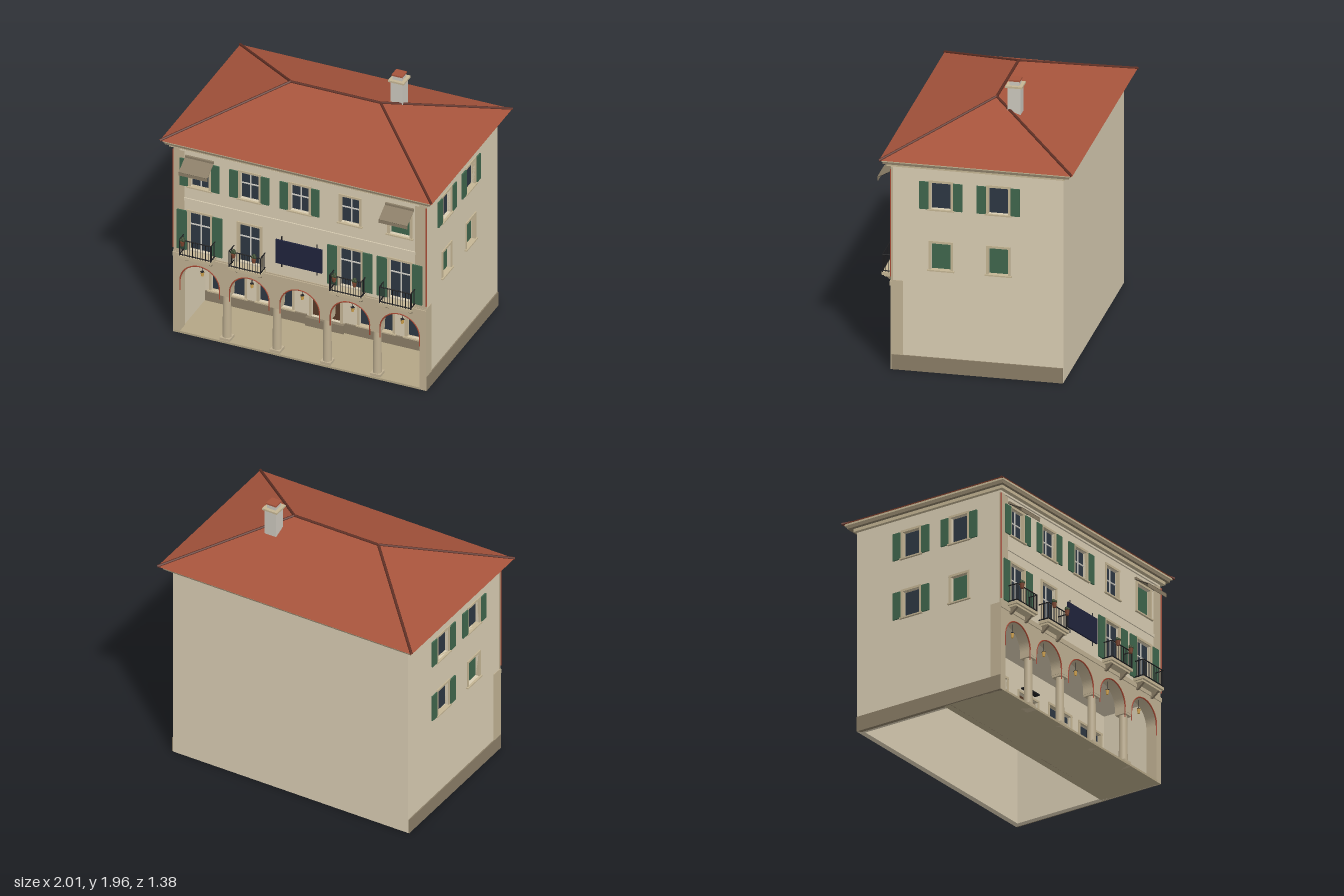
import * as THREE from 'three';

const C = {
  wall: 0xd8ccb2, stone: 0xbfb092, trim: 0xc4b594, dark: 0x8a7d66, glass: 0x2d3742, bar: 0xcfccc4,
  green: 0x3f654c, roof: 0xa5533b, ridge: 0x5e2f24, iron: 0x1e1e20, door: 0x573a27, navy: 0x20243c,
  red: 0xa84a34, lamp: 0xd8a850, chimney: 0xcbc7bd, floor: 0xb3a585, clay: 0x7d4630, leaf: 0x3a4a30,
};
const mats = {};
const mat = (c) => (mats[c] ??= new THREE.MeshStandardMaterial({ color: C[c] }));

function add(parent, name, geo, color, x = 0, y = 0, z = 0) {
  const m = new THREE.Mesh(geo, mat(color));
  m.name = name;
  m.position.set(x, y, z);
  parent.add(m);
  return m;
}
// box given by its min and max on each axis
function box(parent, name, color, x0, x1, y0, y1, z0, z1) {
  return add(parent, name, new THREE.BoxGeometry(x1 - x0, y1 - y0, z1 - z0), color,
    (x0 + x1) / 2, (y0 + y1) / 2, (z0 + z1) / 2);
}
function group(parent, name) {
  const g = new THREE.Group();
  g.name = name;
  parent.add(g);
  return g;
}
function rod(parent, name, color, a, b, r, sides = 8) {
  const path = new THREE.LineCurve3(new THREE.Vector3(...a), new THREE.Vector3(...b));
  return add(parent, name, new THREE.TubeGeometry(path, 1, r, sides), color);
}

// wall whose outer face is z = 0, pierced for each opening
function wall(parent, name, x0, x1, y0, y1, openings) {
  const s = new THREE.Shape([[x0, y0], [x1, y0], [x1, y1], [x0, y1]].map((p) => new THREE.Vector2(...p)));
  for (const { x, y, w, h } of openings) {
    s.holes.push(new THREE.Path([[-1, 0], [-1, 1], [1, 1], [1, 0]]
      .map(([i, j]) => new THREE.Vector2(x + i * w / 2, y + j * h))));
  }
  const geo = new THREE.ExtrudeGeometry(s, { depth: 0.04, bevelEnabled: false });
  add(parent, name, geo, 'wall', 0, 0, -0.04);
  openings.forEach((o) => windowUnit(parent, o));
}

// pane, glazing bars, surround, sill and shutters of one opening
function windowUnit(parent, { x, y, w, h, pane = 'glass', bars = true, rail = 0.5, shutter = 0, sides = [-1, 1], sill = true }) {
  const g = group(parent, pane === 'door' ? 'door' : 'window');
  const l = x - w / 2, r = x + w / 2, f = 0.016;
  box(g, 'pane', pane, l, r, y, y + h, -0.045, -0.025);
  if (pane === 'glass' && bars) {
    box(g, 'verticalBar', 'bar', x - 0.004, x + 0.004, y, y + h, -0.025, -0.018);
    box(g, 'crossBar', 'bar', l, r, y + h * rail - 0.004, y + h * rail + 0.004, -0.025, -0.018);
  }
  box(g, 'leftSurround', 'trim', l - f, l, y, y + h, -0.02, 0.007);
  box(g, 'rightSurround', 'trim', r, r + f, y, y + h, -0.02, 0.007);
  box(g, 'lintel', 'trim', l - f, r + f, y + h, y + h + f, -0.02, 0.008);
  if (sill) box(g, 'sill', 'trim', l - 0.025, r + 0.025, y - 0.01, y, -0.025, 0.016);
  if (shutter) for (const s of sides) {
    const c = x + s * (w / 2 + f + shutter / 2 + 0.002);
    box(g, 'shutter', 'green', c - shutter / 2, c + shutter / 2, y - 0.003, y + h + 0.005, 0.002, 0.012);
  }
}

function balcony(parent, x, pots) {
  const g = group(parent, 'balcony');
  g.position.x = x;
  box(g, 'slab', 'trim', -0.12, 0.12, 0.645, 0.665, 0, 0.085);
  box(g, 'slabMoulding', 'trim', -0.11, 0.11, 0.632, 0.645, 0, 0.07);
  const bracket = new THREE.Shape([[0, 0.59], [0.02, 0.595], [0.065, 0.632], [0, 0.632]].map((p) => new THREE.Vector2(...p)));
  for (const s of [-1, 1]) {
    const b = add(g, 'bracket', new THREE.ExtrudeGeometry(bracket, { depth: 0.018, bevelEnabled: false }), 'dark', s * 0.085 - 0.009);
    b.rotation.y = -Math.PI / 2;
    b.position.x += 0.018;
    for (const y of [0.675, 0.79]) rod(g, 'sideRail', 'iron', [s * 0.115, y, 0], [s * 0.115, y, 0.08], 0.004);
    for (let i = 1; i < 4; i++) rod(g, 'baluster', 'iron', [s * 0.115, 0.665, i * 0.02], [s * 0.115, 0.79, i * 0.02], 0.002, 5);
  }
  for (const y of [0.675, 0.79]) rod(g, 'frontRail', 'iron', [-0.118, y, 0.08], [0.118, y, 0.08], 0.004);
  for (let i = 0; i <= 12; i++) {
    const bx = -0.115 + i * 0.23 / 12;
    rod(g, 'baluster', 'iron', [bx, 0.665, 0.08], [bx, 0.79, 0.08], i % 12 ? 0.002 : 0.004, 5);
  }
  for (const p of pots) {
    add(g, 'flowerPot', new THREE.CylinderGeometry(0.017, 0.011, 0.035, 10), 'clay', p, 0.777, 0.1);
    for (const [dx, dy, dz] of [[-0.009, 0.802, 0], [0.009, 0.805, 0.004], [0, 0.812, -0.005]]) {
      add(g, 'plant', new THREE.IcosahedronGeometry(0.012, 1), 'leaf', p + dx, dy, 0.1 + dz);
    }
  }
}

function awning(parent, x) {
  const g = group(parent, 'awning');
  g.position.x = x;
  box(g, 'cassette', 'dark', -0.105, 0.105, 1.405, 1.42, 0, 0.015);
  add(g, 'canopy', new THREE.BoxGeometry(0.21, 0.005, 0.132), 'dark', 0, 1.378, 0.058).rotation.x = 0.514;
  box(g, 'valance', 'dark', -0.105, 0.105, 1.32, 1.347, 0.111, 0.115);
  for (const s of [-1, 1]) rod(g, 'arm', 'iron', [s * 0.1, 1.345, 0.112], [s * 0.1, 1.405, 0.005], 0.003, 5);
}

const BAYS = [-0.735, -0.37, 0, 0.37, 0.735];
const R = 0.145, SPRING = 0.415;

function arcade(root) {
  const g = group(root, 'arcade');
  // stone screen with five round arches
  const s = new THREE.Shape();
  s.moveTo(-0.93, 0).lineTo(-0.88, 0);
  BAYS.forEach((x, i) => {
    s.lineTo(x - R, SPRING);
    s.absarc(x, SPRING, R, Math.PI, 0, true);
    if (i < 4) s.lineTo(x + R, 0.385).lineTo(BAYS[i + 1] - R, 0.385);
  });
  s.lineTo(0.88, 0).lineTo(0.93, 0).lineTo(0.93, 0.645).lineTo(-0.93, 0.645);
  add(g, 'archWall', new THREE.ExtrudeGeometry(s, { depth: 0.085, bevelEnabled: false, curveSegments: 24 }), 'stone', 0, 0, 0.49);
  box(g, 'stringCourse', 'stone', -0.932, 0.932, 0.605, 0.635, 0.57, 0.582);
  BAYS.forEach((x, i) => {
    // red arch edging with short straight legs
    add(g, 'archEdging', new THREE.TorusGeometry(R, 0.005, 6, 28, Math.PI), 'red', x, SPRING, 0.574);
    for (const e of [-1, 1]) rod(g, 'edgingLeg', 'red', [x + e * R, 0.34, 0.574], [x + e * R, SPRING, 0.574], 0.004, 6);
    // hanging lantern
    const l = group(g, 'lantern');
    rod(l, 'rod', 'iron', [x, 0.5, 0.53], [x, 0.56, 0.53], 0.002, 5);
    add(l, 'cap', new THREE.ConeGeometry(0.017, 0.012, 4), 'iron', x, 0.5, 0.53);
    add(l, 'lamp', new THREE.CylinderGeometry(0.013, 0.009, 0.032, 6), 'lamp', x, 0.478, 0.53);
    if (i === 4) return;
    // column
    const c = (x + BAYS[i + 1]) / 2, col = group(g, 'column');
    box(col, 'base', 'stone', c - 0.037, c + 0.037, 0, 0.035, 0.495, 0.57);
    add(col, 'shaft', new THREE.CylinderGeometry(0.027, 0.031, 0.34, 20), 'stone', c, 0.205, 0.532);
    box(col, 'capital', 'stone', c - 0.038, c + 0.038, 0.37, 0.39, 0.493, 0.573);
  });
  box(g, 'floor', 'floor', -0.92, 0.92, 0, 0.015, 0.1, 0.575);
  box(g, 'ceiling', 'wall', -0.92, 0.92, 0.6, 0.62, 0.1, 0.5);
  // shop wall at the back of the arcade
  const shop = group(g, 'shopWall');
  shop.position.z = 0.14;
  const openings = [-0.72, -0.37, 0.37, 0.72].map((x) => ({ x, y: 0.1, w: 0.245, h: 0.345, bars: false }));
  openings.push({ x: 0, y: 0.08, w: 0.215, h: 0.325, pane: 'door', sill: false });
  wall(shop, 'shopFront', -0.92, 0.92, 0, 0.61, openings);
  for (const x of [-0.72, -0.37, 0.37, 0.72]) box(shop, 'mullion', 'iron', x - 0.003, x + 0.003, 0.1, 0.445, -0.025, -0.02);
  for (const e of [-1, 1]) add(shop, 'dado', new THREE.BoxGeometry(0.77, 0.09, 0.012), 'dark', e * 0.525, 0.045, 0.006);
  box(shop, 'doorStep', 'dark', -0.14, 0.14, 0, 0.08, 0, 0.03);
  box(shop, 'doorCanopy', 'iron', -0.08, 0.08, 0.438, 0.448, 0, 0.04);
}

function frontFacade(root) {
  const g = group(root, 'frontFacade');
  g.position.z = 0.57;
  const openings = [];
  for (const x of BAYS) {
    if (x) openings.push({ x, y: 0.675, w: 0.155, h: 0.3, rail: 0.65, sill: false, shutter: x === -0.37 ? 0 : 0.07 });
    const blind = x === 0.735, aw = Math.abs(x) > 0.7;
    openings.push({ x, y: 1.18, w: blind ? 0.15 : 0.135, h: 0.205, rail: 0.55, pane: blind ? 'green' : 'glass',
      shutter: x === 0.37 || blind ? 0 : 0.06 });
    if (aw) awning(g, x);
  }
  wall(g, 'upperWall', -0.925, 0.925, 0.64, 1.5, openings);
  box(g, 'floorBand', 'wall', -0.85, 0.85, 1.058, 1.08, 0, 0.008);
  box(g, 'topBand', 'wall', -0.88, 0.88, 1.452, 1.462, 0, 0.012);
  for (const s of [-1, 1]) {
    add(g, 'cornerStrip', new THREE.BoxGeometry(0.08, 0.82, 0.012), 'stone', s * 0.888, 1.05, -0.003);
    rod(g, 'downpipe', 'red', [s * 0.93, 0.67, 0.006], [s * 0.93, 1.45, 0.006], 0.005);
  }
  balcony(g, -0.735, [-0.085]);
  balcony(g, -0.37, [-0.075, 0.075]);
  balcony(g, 0.37, [-0.075, 0.075]);
  balcony(g, 0.735, []);
  // blank signboard on two iron bars
  const sign = group(g, 'signboard');
  box(sign, 'board', 'navy', -0.17, 0.17, 0.745, 0.93, 0.01, 0.022);
  for (const s of [-1, 1]) rod(sign, 'bar', 'iron', [s * 0.13, 0.715, 0.008], [s * 0.13, 0.96, 0.008], 0.004, 6);
}

function sideFacade(root, s) {
  const g = group(root, s > 0 ? 'leftFacade' : 'rightFacade');
  g.position.x = s * 0.925;
  g.rotation.y = s * Math.PI / 2;
  const openings = [];
  for (const z of [0.23, -0.165]) {
    const x = -s * z, open = s < 0 && z < 0;
    openings.push({ x, y: 1.183, w: 0.135, h: 0.19, bars: false, shutter: 0.063 });
    openings.push({ x, y: 0.745, w: 0.135, h: 0.19, bars: false, pane: open ? 'glass' : 'green', shutter: open ? 0.063 : 0 });
  }
  const ends = [-s * 0.57, s * 0.61].sort((a, b) => a - b);
  wall(g, 'sideWall', ...ends, 0, 1.5, openings);
  box(g, 'plinth', 'dark', ...ends, 0, 0.108, -0.02, 0.008);
}

function roof(root) {
  const g = group(root, 'roof');
  const y = 1.53, f = 0.64, b = -0.69, top = 1.79, mz = -0.02;
  const v = [[-1, y, f], [1, y, f], [1, y, b], [-1, y, b], [-0.33, top, mz], [0.33, top, mz]];
  const tri = [0, 1, 5, 0, 5, 4, 1, 2, 5, 2, 3, 4, 2, 4, 5, 3, 0, 4, 0, 3, 2, 0, 2, 1];
  const geo = new THREE.BufferGeometry();
  geo.setAttribute('position', new THREE.Float32BufferAttribute(tri.flatMap((i) => v[i]), 3));
  geo.computeVertexNormals();
  add(g, 'tiledHip', geo, 'roof');
  for (const [i, j] of [[0, 4], [3, 4], [1, 5], [2, 5], [4, 5]]) rod(g, 'ridgeTiles', 'ridge', v[i], v[j], 0.01);
  // stepped eaves
  box(g, 'eaves', 'trim', -0.985, 0.985, 1.517, 1.53, -0.675, 0.63);
  box(g, 'gutterBoard', 'dark', -0.975, 0.975, 1.497, 1.517, -0.66, 0.62);
  box(g, 'cornice', 'trim', -0.95, 0.95, 1.475, 1.497, -0.625, 0.6);
  // chimney
  const c = group(root, 'chimney');
  c.position.set(0.403, 0, -0.165);
  box(c, 'stack', 'chimney', -0.045, 0.045, 1.68, 1.91, -0.045, 0.045);
  box(c, 'capSlab', 'trim', -0.058, 0.058, 1.91, 1.923, -0.058, 0.058);
  box(c, 'flue', 'chimney', -0.034, 0.034, 1.923, 1.952, -0.034, 0.034);
  box(c, 'capTile', 'roof', -0.039, 0.039, 1.952, 1.963, -0.039, 0.039);
}

export function createModel() {
  const root = new THREE.Group();
  root.name = 'arcadedTownHouse';
  arcade(root);
  frontFacade(root);
  sideFacade(root, 1);
  sideFacade(root, -1);
  box(root, 'backWall', 'wall', -0.925, 0.925, 0, 1.5, -0.612, -0.572);
  roof(root);
  return root;
}
